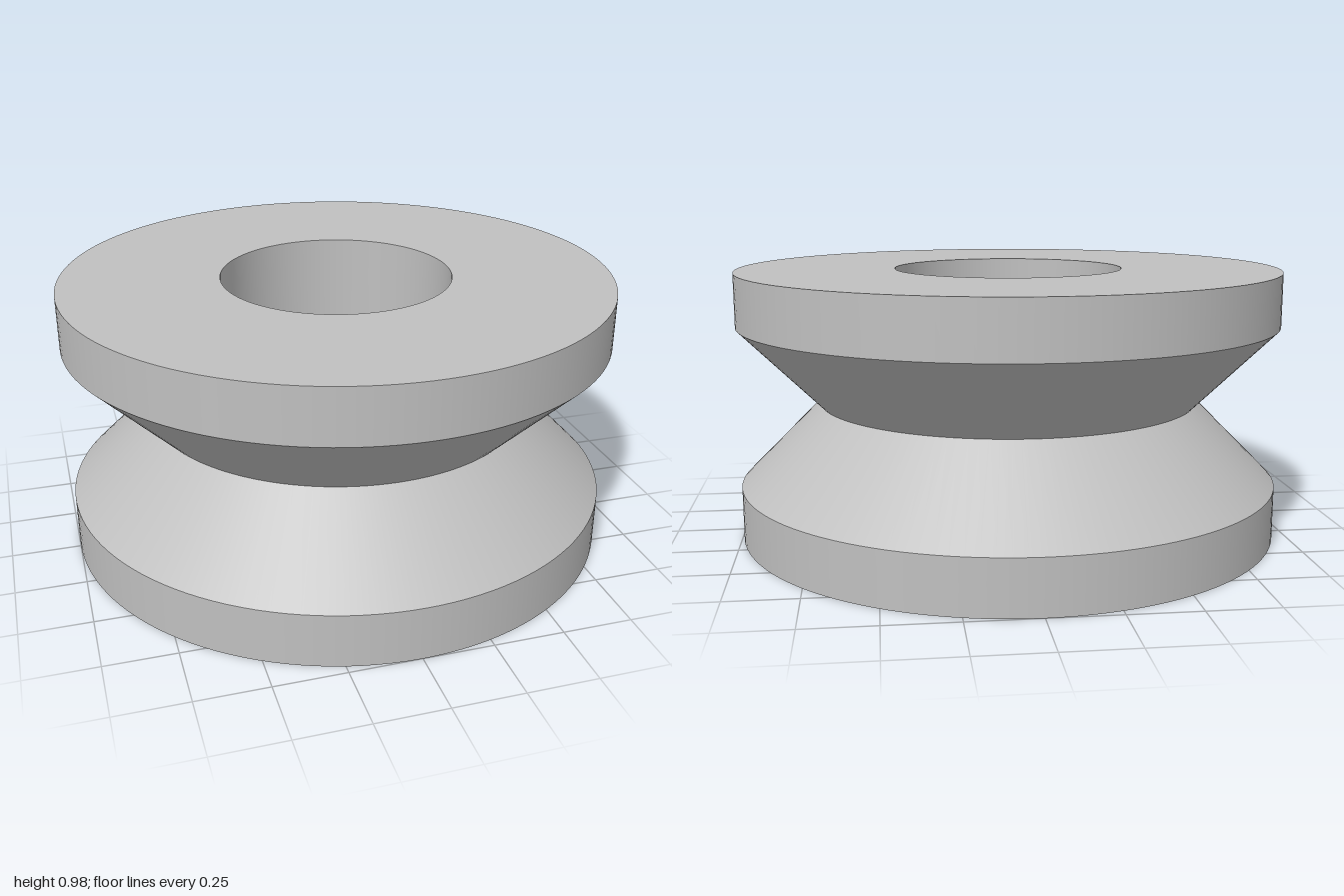
import * as THREE from 'three';

const SEGMENTS = 128;

export function createModel() {
  const roller = new THREE.Group();
  roller.name = 'grooveRoller';
  const metal = new THREE.MeshStandardMaterial({ color: 0xc0c0c0 });
  metal.name = 'plain grey';

  const height = 0.98, rim = 0.195, outer = 1, neck = 0.705, bore = 0.42;

  // Cross-section corners [radius, y], running outward, up, inward and down
  const profile = [
    ['bottomFace', bore, 0],
    ['lowerRim', outer, 0],
    ['lowerGrooveWall', outer, rim],
    ['upperGrooveWall', neck, height / 2],
    ['upperRim', outer, height - rim],
    ['topFace', outer, height],
    ['boreWall', bore, height],
  ];

  // One revolved band per edge keeps the corners sharp and the curves smooth
  profile.forEach(([name, r, y], i) => {
    const [, nextR, nextY] = profile[(i + 1) % profile.length];
    const edge = [new THREE.Vector2(r, y), new THREE.Vector2(nextR, nextY)];
    const band = new THREE.Mesh(new THREE.LatheGeometry(edge, SEGMENTS), metal);
    band.name = name;
    roller.add(band);
  });

  return roller;
}
